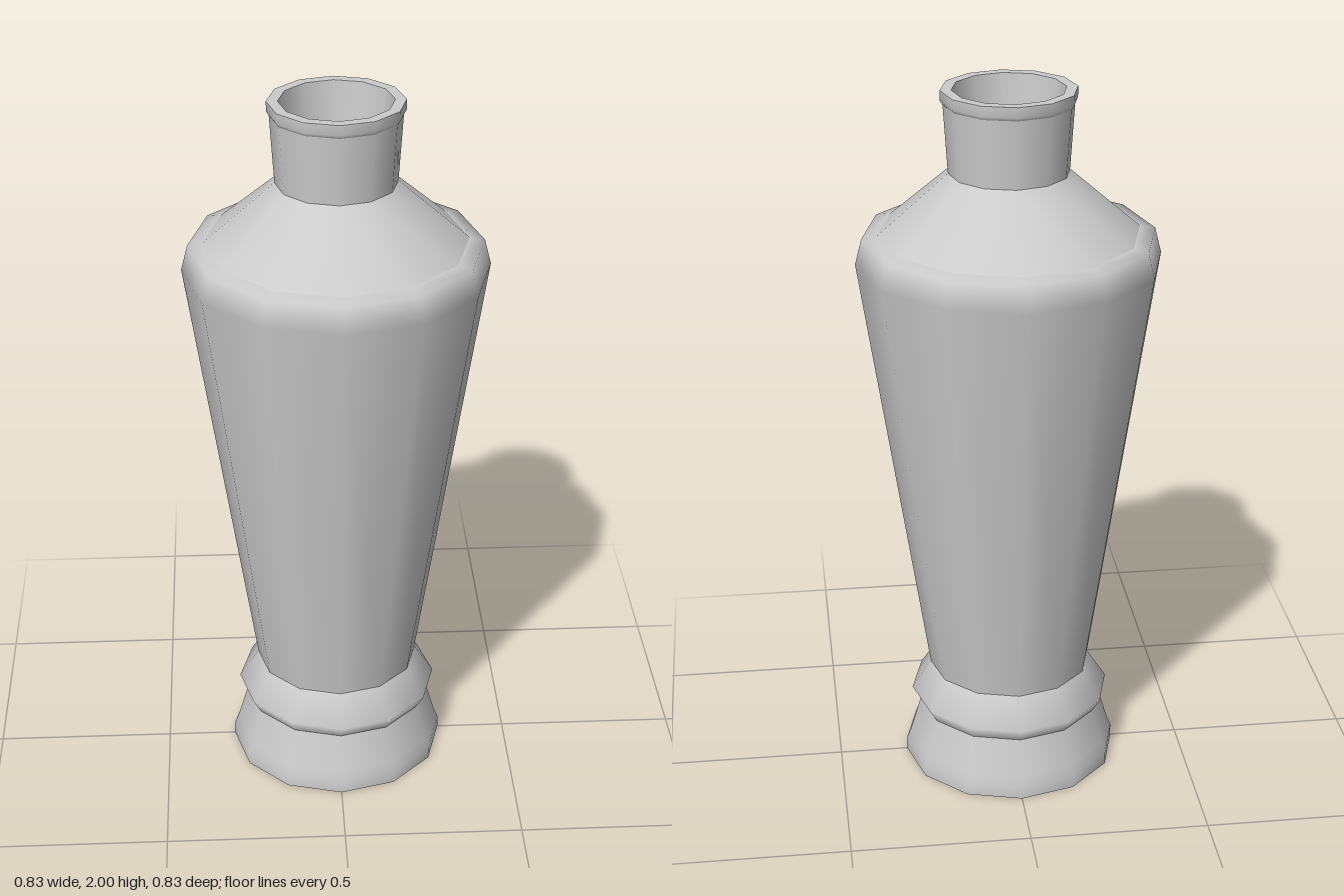
import * as THREE from 'three';

const SIDES = 12;

export function createModel() {
  const vase = new THREE.Group();
  vase.name = 'vase';
  const material = new THREE.MeshStandardMaterial({ color: 0xcccccc });

  // Each part is one smooth band; separate bands keep the edges between them sharp.
  const addBand = (name, profile) => {
    const points = profile.map(([r, y]) => new THREE.Vector2(r, y));
    const mesh = new THREE.Mesh(new THREE.LatheGeometry(points, SIDES), material);
    mesh.name = name;
    vase.add(mesh);
  };

  // Foot with flared skirt and a ridged collar
  addBand('underside', [[0, 0], [0.305, 0]]);
  addBand('foot', [[0.305, 0], [0.305, 0.035], [0.293, 0.065], [0.262, 0.17]]);
  addBand('collar', [[0.262, 0.17], [0.285, 0.21], [0.23, 0.295]]);

  // Tapered body, rounded over at the top into a narrow ledge
  addBand('body', [[0.23, 0.295], [0.415, 1.53], [0.397, 1.6], [0.355, 1.608]]);

  // Sloping shoulder, neck and lip
  addBand('shoulder', [[0.355, 1.608], [0.163, 1.775]]);
  addBand('neck', [[0.163, 1.775], [0.175, 1.962]]);
  addBand('lip', [[0.175, 1.962], [0.182, 1.972], [0.182, 2]]);
  addBand('rim', [[0.182, 2], [0.152, 2]]);

  // Inside of the mouth
  addBand('mouthWall', [[0.152, 2], [0.128, 1.775]]);
  addBand('mouthFloor', [[0.128, 1.775], [0, 1.775]]);

  return vase;
}
